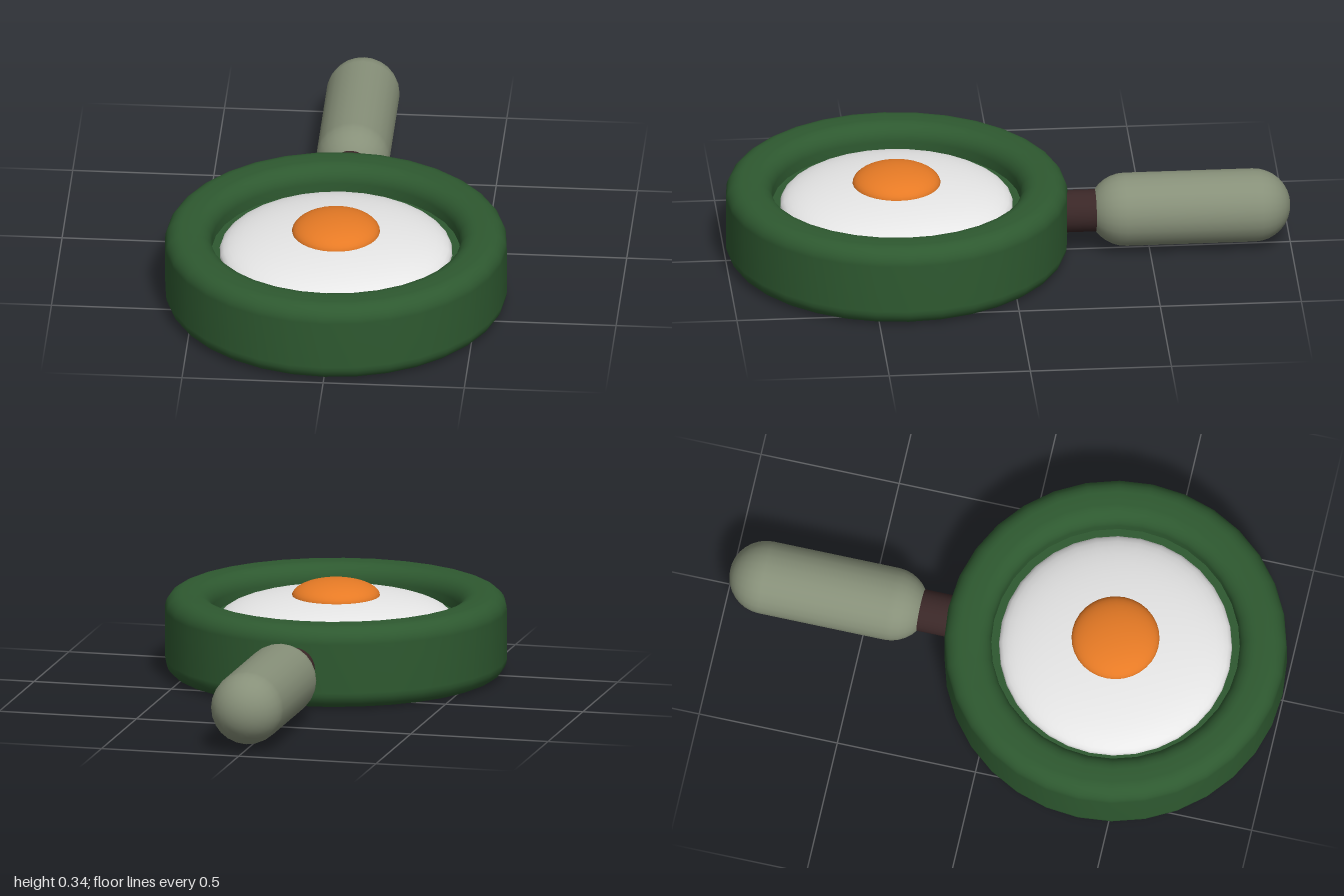
import * as THREE from 'three';

const material = (name, color) => {
  const m = new THREE.MeshStandardMaterial({ color });
  m.name = name;
  return m;
};

// Quarter-circle profile points around (cx, cy), from angle a to angle b in degrees
function arc(cx, cy, r, a, b, steps = 6) {
  return Array.from({ length: steps + 1 }, (_, i) => {
    const t = THREE.MathUtils.degToRad(a + ((b - a) * i) / steps);
    return new THREE.Vector2(cx + r * Math.cos(t), cy + r * Math.sin(t));
  });
}

export function createModel() {
  const green = material('pan green', 0x2e5930);
  const sage = material('handle sage', 0x879079);
  const brown = material('neck brown', 0x3a2727);
  const white = material('egg white', 0xeeeeee);
  const orange = material('yolk orange', 0xe67a25);

  const model = new THREE.Group();
  const add = (name, geometry, mat, x, y, z, parent = model) => {
    const mesh = new THREE.Mesh(geometry, mat);
    mesh.name = name;
    mesh.position.set(x, y, z);
    parent.add(mesh);
    return mesh;
  };

  const panZ = 0.395, outer = 0.605, inner = 0.44, height = 0.295, round = 0.06;
  const floorY = 0.2, sides = 32;

  // Pan wall with rounded bottom edge and rounded rim
  const pan = new THREE.Group();
  pan.name = 'pan';
  pan.position.z = panZ;
  model.add(pan);
  const profile = [
    ...arc(outer - round, round, round, -90, 0),
    ...arc(outer - round, height - round, round, 0, 90),
    ...arc(inner + round, height - round, round, 90, 180),
    new THREE.Vector2(inner, floorY),
  ];
  add('panWall', new THREE.LatheGeometry(profile, sides), green, 0, 0, 0, pan);

  // Flat underside and cooking surface
  const base = new THREE.CircleGeometry(outer - round, sides).rotateX(Math.PI / 2);
  add('panBase', base, green, 0, 0, 0, pan);
  const floor = new THREE.CircleGeometry(inner, sides).rotateX(-Math.PI / 2);
  add('panFloor', floor, green, 0, floorY, 0, pan);

  // Fried egg: two flattened domes
  const dome = (radius, rise) =>
    new THREE.SphereGeometry(radius, sides, 12, 0, Math.PI * 2, 0, Math.PI / 2)
      .scale(1, rise / radius, 1);
  add('eggWhite', dome(0.412, 0.09), white, 0, floorY, panZ);
  add('yolk', dome(0.156, 0.06), orange, 0, 0.28, panZ);

  // Neck and rounded grip pointing backwards
  const neck = new THREE.CylinderGeometry(0.075, 0.075, 0.2, 24).rotateX(Math.PI / 2);
  add('handleNeck', neck, brown, 0, 0.148, -0.25);
  const grip = new THREE.CapsuleGeometry(0.13, 0.455, 8, 24).rotateX(Math.PI / 2);
  add('handleGrip', grip, sage, 0, 0.148, -0.6425);

  return model;
}
